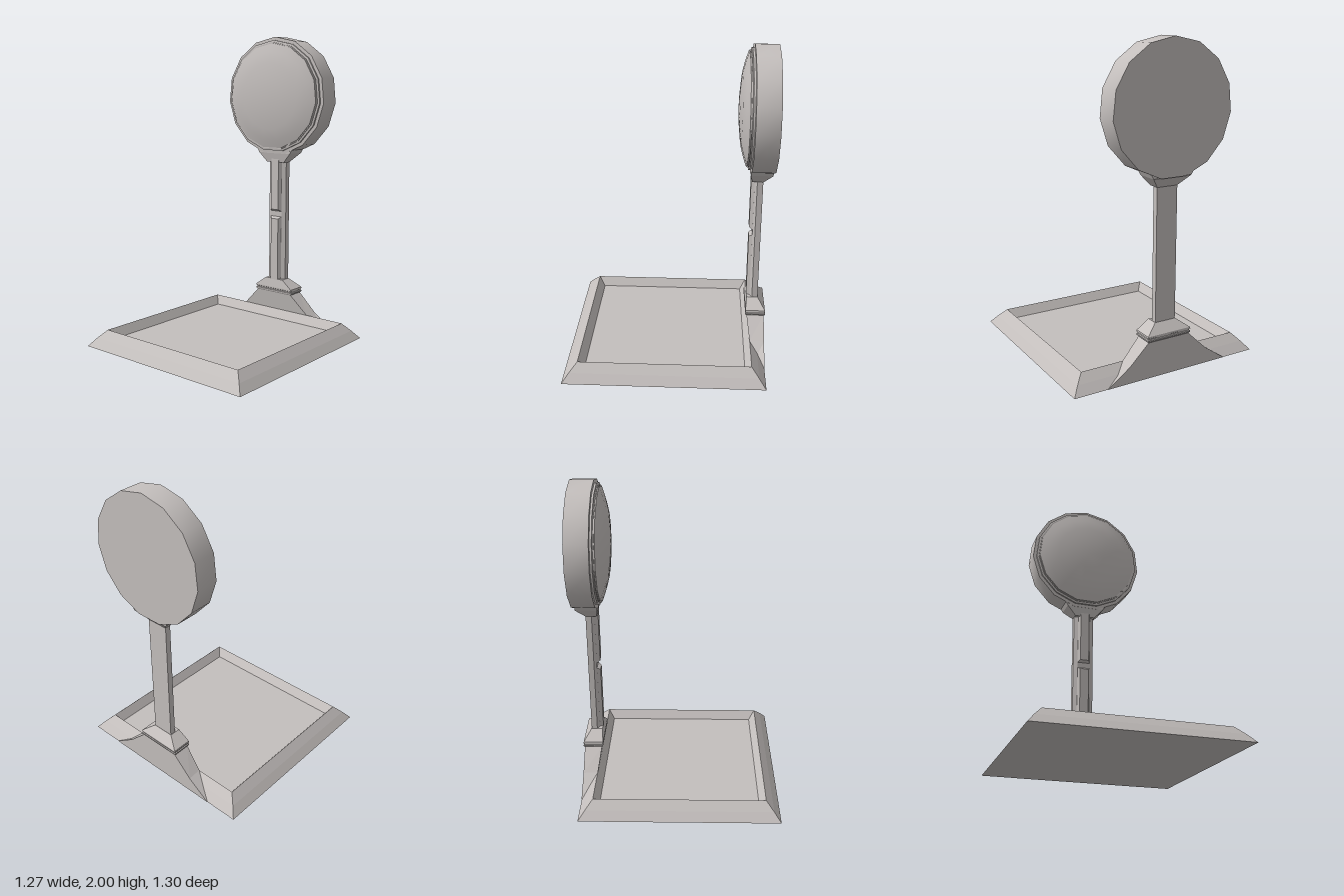
import * as THREE from 'three';
import { toCreasedNormals } from 'three/addons/utils/BufferGeometryUtils.js';

// Closed solid from stacked rings: [[y, [[x, z], ...]], ...], ring corners anticlockwise from above
function loft(sections) {
  const n = sections[0][1].length, pos = [], idx = [];
  for (const [y, ring] of sections) for (const [x, z] of ring) pos.push(x, y, z);
  const last = (sections.length - 1) * n;
  for (let s = 0; s < last; s += n) {
    for (let i = 0; i < n; i++) {
      const j = (i + 1) % n;
      idx.push(s + i, s + j, s + n + j, s + i, s + n + j, s + n + i);
    }
  }
  for (let i = 1; i < n - 1; i++) {
    idx.push(last, last + i, last + i + 1);
    idx.push(0, i + 1, i);
  }
  const g = new THREE.BufferGeometry();
  g.setAttribute('position', new THREE.Float32BufferAttribute(pos, 3));
  g.setIndex(idx);
  const flat = g.toNonIndexed();
  flat.computeVertexNormals();
  return flat;
}

// Four-sided ring, symmetric in x, whose back may be wider than its front
const rect = (y, x, front, back, xBack = x) =>
  [y, [[x, front], [xBack, back], [-xBack, back], [-x, front]]];

export function createModel() {
  const group = new THREE.Group();
  const grey = new THREE.MeshStandardMaterial({ color: 0xc4bfbd });
  grey.name = 'warm grey';
  const add = (name, geometry) => {
    const mesh = new THREE.Mesh(geometry, grey);
    mesh.name = name;
    group.add(mesh);
  };

  // Sloped platform with a sunken tray
  add('platform', loft([
    rect(0, 0.637, 0.648, -0.627),
    rect(0.053, 0.594, 0.604, -0.583),
    rect(0.105, 0.545, 0.555, -0.536),
    rect(0.047, 0.507, 0.515, -0.498),
  ]));

  // Flared foot behind the platform
  add('pedestal', loft([
    rect(0, 0.38, -0.55, -0.629, 0.42),
    rect(0.105, 0.265, -0.535, -0.629, 0.27),
    rect(0.23, 0.14, -0.515, -0.629),
  ]));

  // Stepped collar and its tapered shoulder
  add('collar', loft([
    rect(0.228, 0.143, -0.512, -0.63),
    rect(0.236, 0.152, -0.507, -0.636),
    rect(0.244, 0.152, -0.507, -0.636),
    rect(0.247, 0.146, -0.511, -0.631),
    rect(0.254, 0.146, -0.511, -0.631),
    rect(0.257, 0.152, -0.507, -0.636),
    rect(0.267, 0.15, -0.507, -0.635),
    rect(0.325, 0.072, -0.515, -0.588),
  ]));

  // Column with chamfered front corners
  const section = [
    [0.045, -0.535], [0.07, -0.55], [0.07, -0.587],
    [-0.07, -0.587], [-0.07, -0.55], [-0.045, -0.535],
  ];
  add('column', loft([[0.31, section], [1.17, section]]));

  // Raised front ridges, separated by a gap
  for (const [name, low, high, lowFront, highFront] of [
    ['lowerRidge', 0.32, 0.77, 0.32, 0.755],
    ['upperRidge', 0.805, 1.18, 0.82, 1.18],
  ]) {
    add(name, loft([
      rect(-0.537, 0.045, -low, -high),
      rect(-0.513, 0.03, -lowFront, -highFront),
    ]).rotateX(Math.PI / 2));
  }

  // Flared bracket under the dial
  add('bracket', loft([
    rect(1.15, 0.07, -0.518, -0.588),
    rect(1.215, 0.13, -0.504, -0.642),
    rect(1.25, 0.15, -0.504, -0.642),
  ]));

  // Fifteen-sided drum, revolved about the z axis with a corner at the top
  const revolve = (points) => toCreasedNormals(
    new THREE.LatheGeometry(points.map(([r, z]) => new THREE.Vector2(r, z)), 15, Math.PI)
      .rotateX(Math.PI / 2), 0.6);
  const drum = revolve([
    [0, -0.648], [0.398, -0.648], [0.398, -0.503], [0.376, -0.501],
    [0.376, -0.489], [0.362, -0.486], [0.362, -0.48], [0, -0.48],
  ]);
  const lens = revolve([
    [0.355, -0.485], [0.355, -0.474], [0.3, -0.455],
    [0.225, -0.436], [0.11, -0.424], [0, -0.418],
  ]);
  add('dialHousing', drum.translate(0, 1.602, 0));
  add('dialLens', lens.translate(0, 1.602, 0));

  return group;
}
